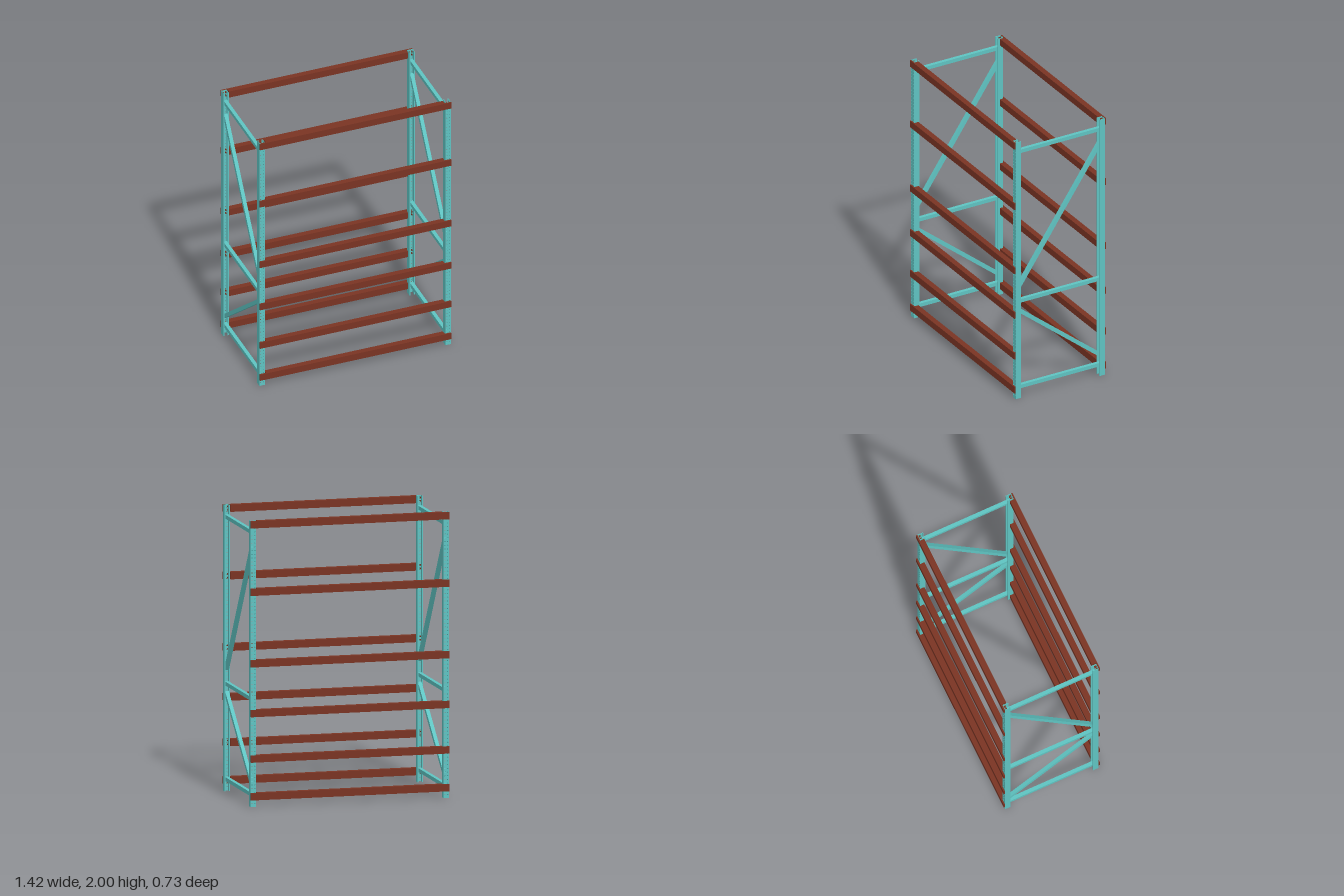
import * as THREE from 'three';

const teal = new THREE.MeshStandardMaterial({ color: 0x5fc4c2 });
teal.name = 'teal paint';
const brown = new THREE.MeshStandardMaterial({ color: 0x7a3423 });
brown.name = 'rust brown paint';

const HEIGHT = 2, POST_X = 0.69, POST_W = 0.04, POST_FRONT = 0.356, POST_BACK = 0.314, WALL = 0.003;

function box(name, material, size, position) {
  const mesh = new THREE.Mesh(new THREE.BoxGeometry(...size), material);
  mesh.name = name;
  mesh.position.set(...position);
  return mesh;
}

// Perforated front wall of an upright: two columns of small holes
function createWebGeometry() {
  const w = POST_W / 2;
  const shape = new THREE.Shape([
    new THREE.Vector2(-w, 0), new THREE.Vector2(w, 0),
    new THREE.Vector2(w, HEIGHT), new THREE.Vector2(-w, HEIGHT),
  ]);
  for (let y = 0.025; y < HEIGHT - 0.01; y += 0.026) {
    for (const x of [-0.01, 0.01]) {
      const hole = new THREE.Path();
      hole.absarc(x, y, 0.004, 0, Math.PI * 2, true);
      shape.holes.push(hole);
    }
  }
  return new THREE.ExtrudeGeometry(shape, { depth: WALL, bevelEnabled: false, curveSegments: 6 });
}

// Channel upright with inward lips, open towards the middle of the rack
function createPost(webGeometry) {
  const post = new THREE.Group();
  post.name = 'upright';
  const depth = POST_FRONT - POST_BACK;
  const web = new THREE.Mesh(webGeometry, teal);
  web.name = 'perforatedFace';
  web.position.z = POST_FRONT - WALL;
  post.add(web);
  for (const s of [-1, 1]) {
    post.add(box('uprightSide', teal, [WALL, HEIGHT, depth - WALL],
      [s * (POST_W - WALL) / 2, HEIGHT / 2, POST_BACK + (depth - WALL) / 2]));
    post.add(box('uprightLip', teal, [0.005, HEIGHT, WALL],
      [s * (POST_W / 2 - WALL - 0.0025), HEIGHT / 2, POST_BACK + WALL / 2]));
  }
  return post;
}

// Square tube between two (z, y) points in the plane of a side frame
function createBrace(name, x, z0, y0, z1, y1) {
  const dz = z1 - z0, dy = y1 - y0;
  const brace = box(name, teal, [0.026, 0.027, Math.hypot(dz, dy)], [x, (y0 + y1) / 2, (z0 + z1) / 2]);
  brace.rotation.x = -Math.atan2(dy, dz);
  return brace;
}

// Shelf beam: full-width face, tube between the uprights, hooks through the holes
function createBeam(y) {
  const beam = new THREE.Group();
  beam.name = 'shelfBeam';
  beam.add(box('beamFace', brown, [1.42, 0.05, 0.01], [0, 0, 0.362]));
  beam.add(box('beamTube', brown, [1.326, 0.05, 0.032], [0, 0, 0.342]));
  for (const s of [-1, 1]) {
    for (const dx of [-0.01, 0.01]) {
      for (const dy of [-0.013, 0.013]) {
        beam.add(box('beamHook', brown, [0.006, 0.007, 0.02], [s * POST_X + dx, dy, 0.347]));
      }
    }
  }
  beam.position.y = y;
  return beam;
}

export function createModel() {
  const rack = new THREE.Group();
  rack.name = 'palletRack';
  const webGeometry = createWebGeometry();

  // Front half and back half; the back is the front turned round
  for (const [name, turn] of [['frontHalf', 0], ['backHalf', Math.PI]]) {
    const half = new THREE.Group();
    half.name = name;
    half.rotation.y = turn;
    for (const s of [-1, 1]) {
      const post = createPost(webGeometry);
      post.position.x = s * POST_X;
      half.add(post);
    }
    for (const y of [0.073, 0.337, 0.655, 1.003, 1.503, 1.975]) half.add(createBeam(y));
    rack.add(half);
  }

  // Side frames: horizontal and diagonal braces
  for (const [name, x] of [['rightFrame', -POST_X], ['leftFrame', POST_X]]) {
    const frame = new THREE.Group();
    frame.name = name;
    for (const y of [0.085, 0.753, 1.92]) {
      frame.add(createBrace('horizontalBrace', x, 0.335, y, -0.335, y));
    }
    frame.add(createBrace('lowerDiagonal', x, 0.335, 0.69, -0.335, 0.15));
    frame.add(createBrace('upperDiagonal', x, 0.33, 0.855, -0.33, 1.82));
    rack.add(frame);
  }
  return rack;
}
